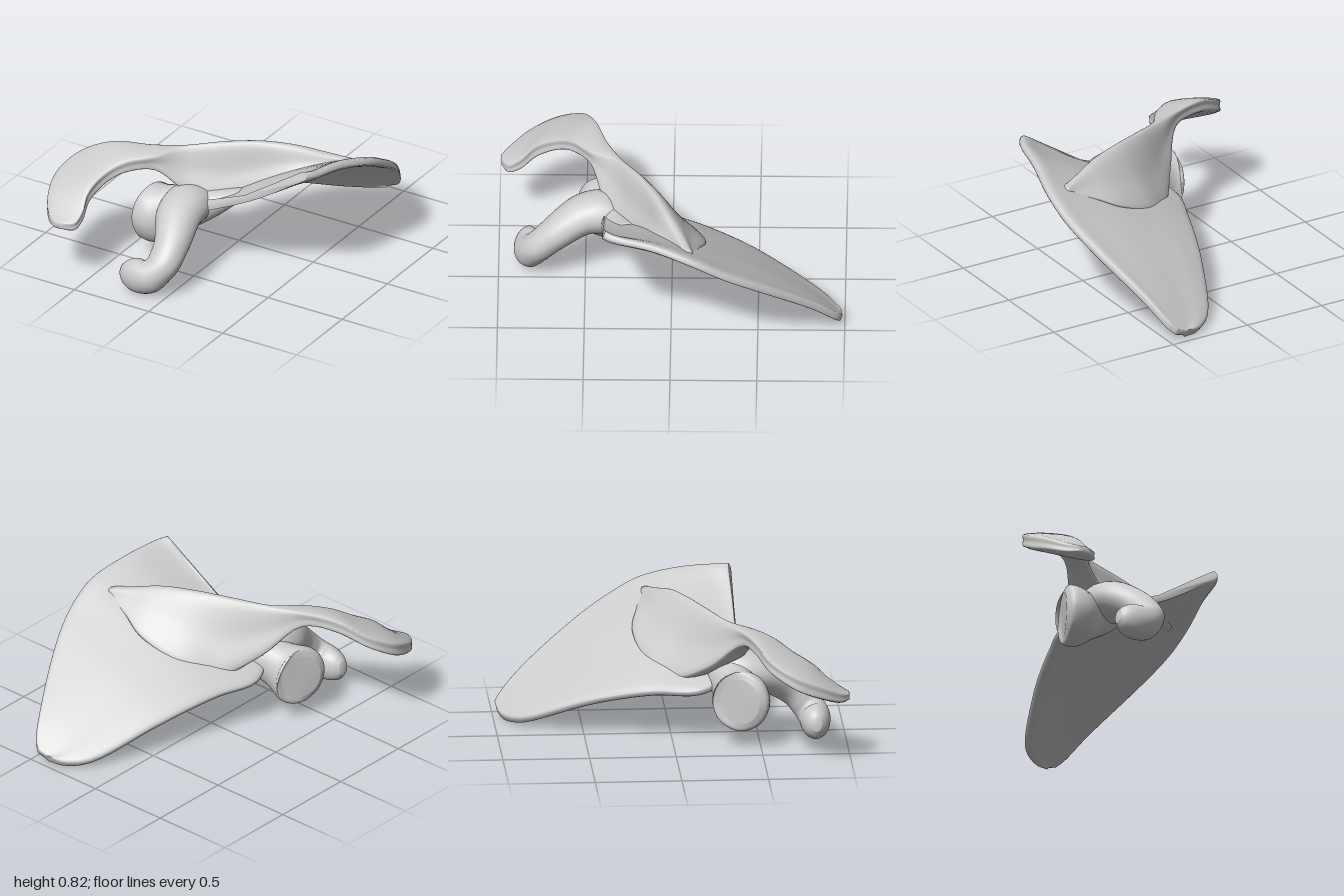
import * as THREE from 'three';

const V = (x, y, z) => new THREE.Vector3(x, y, z);
const material = new THREE.MeshStandardMaterial({ color: 0xcccccc, side: THREE.DoubleSide });

// Smooth skin over closed rings that all have the same number of control points
function loft(name, rings, around = 32, steps = 5) {
  const loops = rings.map(r => {
    const c = new THREE.CatmullRomCurve3(r, true);
    return Array.from({ length: around }, (_, i) => c.getPoint(i / around));
  });
  const rows = (rings.length - 1) * steps + 1;
  const pos = [], index = [];
  const columns = Array.from({ length: around }, (_, i) =>
    new THREE.CatmullRomCurve3(loops.map(l => l[i])));
  for (let j = 0; j < rows; j++)
    for (const c of columns) pos.push(...c.getPoint(j / (rows - 1)).toArray());
  for (let j = 0; j < rows - 1; j++)
    for (let i = 0; i < around; i++) {
      const a = j * around + i, b = j * around + (i + 1) % around;
      index.push(a, b, a + around, b, b + around, a + around);
    }
  // End caps
  for (const [row, flip] of [[0, false], [rows - 1, true]]) {
    const mid = V(0, 0, 0), start = row * around, m = pos.length / 3;
    for (let i = 0; i < around; i++)
      mid.add(V(...pos.slice((start + i) * 3, (start + i) * 3 + 3)));
    pos.push(...mid.divideScalar(around).toArray());
    for (let i = 0; i < around; i++) {
      const a = start + i, b = start + (i + 1) % around;
      index.push(...(flip ? [a, b, m] : [b, a, m]));
    }
  }
  // Turn the faces outwards when the enclosed volume is negative
  let volume = 0;
  const at = k => V(pos[k * 3], pos[k * 3 + 1], pos[k * 3 + 2]);
  for (let k = 0; k < index.length; k += 3)
    volume += at(index[k]).dot(at(index[k + 1]).cross(at(index[k + 2])));
  if (volume < 0) index.reverse();
  const g = new THREE.BufferGeometry();
  g.setAttribute('position', new THREE.Float32BufferAttribute(pos, 3));
  g.setIndex(index);
  g.computeVertexNormals();
  const mesh = new THREE.Mesh(g, material);
  mesh.name = name;
  return mesh;
}

// Oval rings along a path; each station is [x, y, z, half width, half height]
function sweep(name, stations) {
  const path = new THREE.CatmullRomCurve3(stations.map(s => V(s[0], s[1], s[2])));
  const rings = stations.map(([x, y, z, w, h], k) => {
    const t = path.getTangent(k / (stations.length - 1));
    const side = V(0, 1, 0).cross(t).normalize();
    const up = t.clone().cross(side);
    return Array.from({ length: 8 }, (_, i) => {
      const a = i * Math.PI / 4;
      return V(x, y, z).addScaledVector(side, w * Math.cos(a)).addScaledVector(up, h * Math.sin(a));
    });
  });
  return loft(name, rings);
}

// Thin curved blade: each row joins a point on the outer border to one on the inner
function blade() {
  const rows = [
    [V(.38, .05, -.97), V(.46, .08, -.98)],
    [V(.30, .04, -.94), V(.50, .12, -.95)],
    [V(.18, .06, -.84), V(.58, .25, -.82)],
    [V(.01, .20, -.50), V(.74, .49, -.50)],
    [V(-.07, .26, -.30), V(.80, .61, -.31)],
    [V(-.14, .30, -.10), V(.81, .71, -.13)],
    [V(-.22, .32, .15), V(.76, .78, .10)],
    [V(-.12, .39, .36), V(.71, .81, .33)],
    [V(-.10, .40, .40), V(.68, .82, .385)],
  ];
  const normal = V(-.39, .85, -.36);
  const rings = rows.map(([outer, inner]) => {
    const side = s => [0, .12, .35, .6, .85, 1].map(u => {
      const p = outer.clone().lerp(inner, u);
      // The middle arches upwards, then dips towards the front border
      const arch = Math.min(.03, .05 * (p.z + 1)) - .21 * Math.max(0, p.z);
      p.y += arch * 4 * u * (1 - u);
      return p.addScaledVector(normal, s * (u === .12 ? .027 : .019));
    });
    return [...side(1), ...side(-1).reverse()];
  });
  return loft('blade', rings, 48);
}

// Ridge that rises from the blade and runs on into a broad hooked plate
function ridge() {
  // Crest, front foot and back foot
  const crest = [
    [V(.68, .70, -.10), V(.68, .66, -.08), V(.67, .64, -.15)],
    [V(.56, .725, -.05), V(.57, .65, .01), V(.54, .62, -.16)],
    [V(.40, .76, .02), V(.44, .60, .10), V(.37, .54, -.20)],
    [V(.20, .77, .10), V(.23, .50, .19), V(.12, .43, -.14)],
    [V(.01, .755, .195), V(.06, .44, .30), V(-.06, .36, .00)],
    [V(-.18, .73, .31), V(-.12, .50, .40), V(-.21, .46, .20)],
  ].map(([top, front, back]) =>
    [top.clone().add(V(0, 0, -.02)), top.clone().add(V(0, 0, .02)), front, back]);
  // Outer edge, inner edge and thickness
  const plate = [
    [V(-.36, .725, .38), V(-.28, .71, .47), .09],
    [V(-.57, .72, .45), V(-.41, .69, .58), .07],
    [V(-.74, .65, .53), V(-.49, .64, .67), .07],
    [V(-.81, .57, .68), V(-.53, .57, .79), .08],
    [V(-.78, .50, .83), V(-.52, .48, .88), .07],
    [V(-.71, .44, .94), V(-.53, .43, .95), .05],
    [V(-.65, .42, .99), V(-.59, .42, .99), .03],
  ].map(([outer, inner, t]) =>
    [outer, inner, inner.clone().add(V(0, -t, 0)), outer.clone().add(V(0, -t, 0))]);
  const rings = [...crest, ...plate].map(([a, b, c, d]) =>
    [a, b, b.clone().lerp(c, .5), c, d, d.clone().lerp(a, .5)]);
  return loft('ridge', rings, 36);
}

export function createModel() {
  const model = new THREE.Group();
  model.name = 'shoulderBlade';
  model.add(blade(), ridge());
  // Neck ending in an oval socket
  model.add(sweep('socketNeck', [
    [-.36, .30, .375, .12, .13],
    [-.35, .30, .38, .165, .175],
    [-.30, .30, .385, .165, .18],
    [-.22, .335, .36, .13, .15],
    [-.08, .39, .32, .12, .12],
    [.06, .44, .29, .09, .07],
    [.18, .50, .26, .05, .03],
  ]));
  // Hooked arm curling forwards, down and sideways
  model.add(sweep('hook', [
    [-.09, .42, .28, .12, .09],
    [-.10, .42, .40, .14, .12],
    [-.09, .40, .52, .135, .11],
    [-.04, .30, .68, .105, .095],
    [-.045, .21, .77, .10, .09],
    [-.10, .14, .82, .09, .10],
    [-.18, .125, .825, .085, .105],
    [-.25, .13, .825, .06, .08],
    [-.285, .135, .825, .03, .04],
  ]));
  return model;
}
